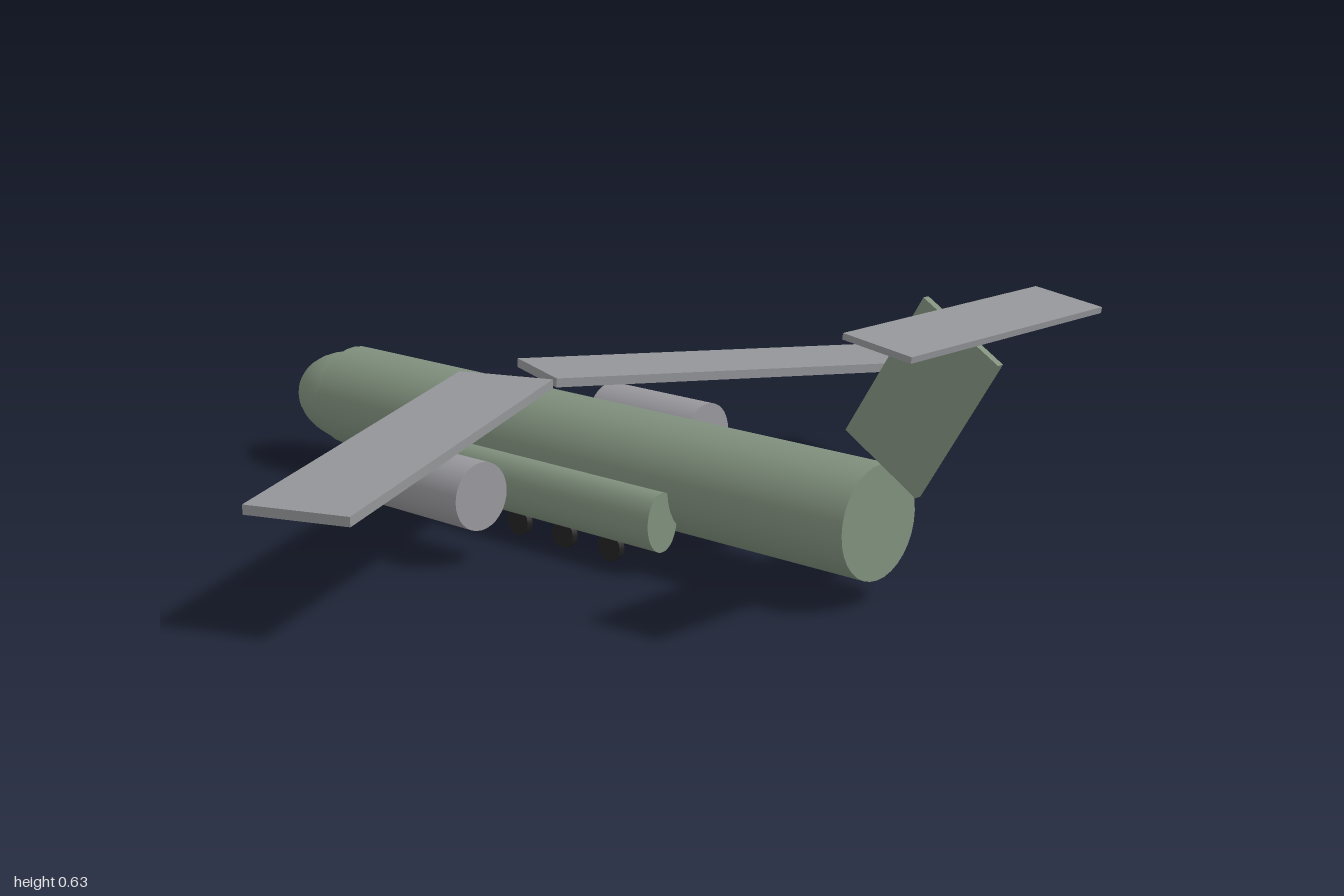
import * as THREE from 'three';

function material(name, color) {
  const m = new THREE.MeshStandardMaterial({ color });
  m.name = name;
  return m;
}

export function createModel() {
  const model = new THREE.Group();
  model.name = 'transportPlane';
  const green = material('hullGreen', 0x7f8f7c);
  const grey = material('wingGrey', 0x929497);
  const engineGrey = material('engineGrey', 0x97979c);
  const black = material('tyreBlack', 0x222222);

  function add(name, geometry, mat, x, y, z) {
    const mesh = new THREE.Mesh(geometry, mat);
    mesh.name = name;
    mesh.position.set(x, y, z);
    model.add(mesh);
    return mesh;
  }
  // cylinders lying along the body, and wheels lying across it
  const tube = (r, length) => new THREE.CylinderGeometry(r, r, length, 32).rotateX(Math.PI / 2);
  const wheel = (r, width) => new THREE.CylinderGeometry(r, r, width, 16).rotateZ(Math.PI / 2);

  // body with an egg-shaped nose pointing to -z
  add('fuselage', tube(0.117, 1.55), green, 0, 0.172, -0.06);
  const nose = new THREE.SphereGeometry(1, 32, 16).rotateX(-Math.PI / 2).scale(0.111, 0.107, 0.167);
  add('nose', nose, green, 0, 0.168, -0.833);

  for (const [side, s] of [['left', 1], ['right', -1]]) {
    // swept, drooping wing
    const wing = add(side + 'Wing', new THREE.BoxGeometry(0.95, 0.02, 0.223), grey, s * 0.487, 0.282, -0.092);
    wing.rotation.set(0, -s * 0.384, -s * 0.053);

    add(side + 'Engine', tube(0.072, 0.302), engineGrey, s * 0.351, 0.151, -0.182);

    // oval landing gear housing with three wheels
    add(side + 'GearHousing', tube(1, 0.605).scale(0.044, 0.063, 1), green, s * 0.132, 0.109, -0.033);
    for (const z of [-0.14, -0.005, 0.13]) {
      add(side + 'MainWheel', wheel(0.031, 0.015), black, s * 0.135, 0.031, z);
    }
  }
  add('noseWheel', wheel(0.024, 0.012), black, 0, 0.032, -0.63);

  // T-shaped tail
  const fin = add('tailFin', new THREE.BoxGeometry(0.016, 0.334, 0.2), green, 0, 0.435, 0.807);
  fin.rotation.x = 0.55;
  const tailplane = add('tailplane', new THREE.BoxGeometry(0.608, 0.012, 0.151), grey, 0, 0.597, 0.925);
  tailplane.rotation.x = 0.14;

  return model;
}
